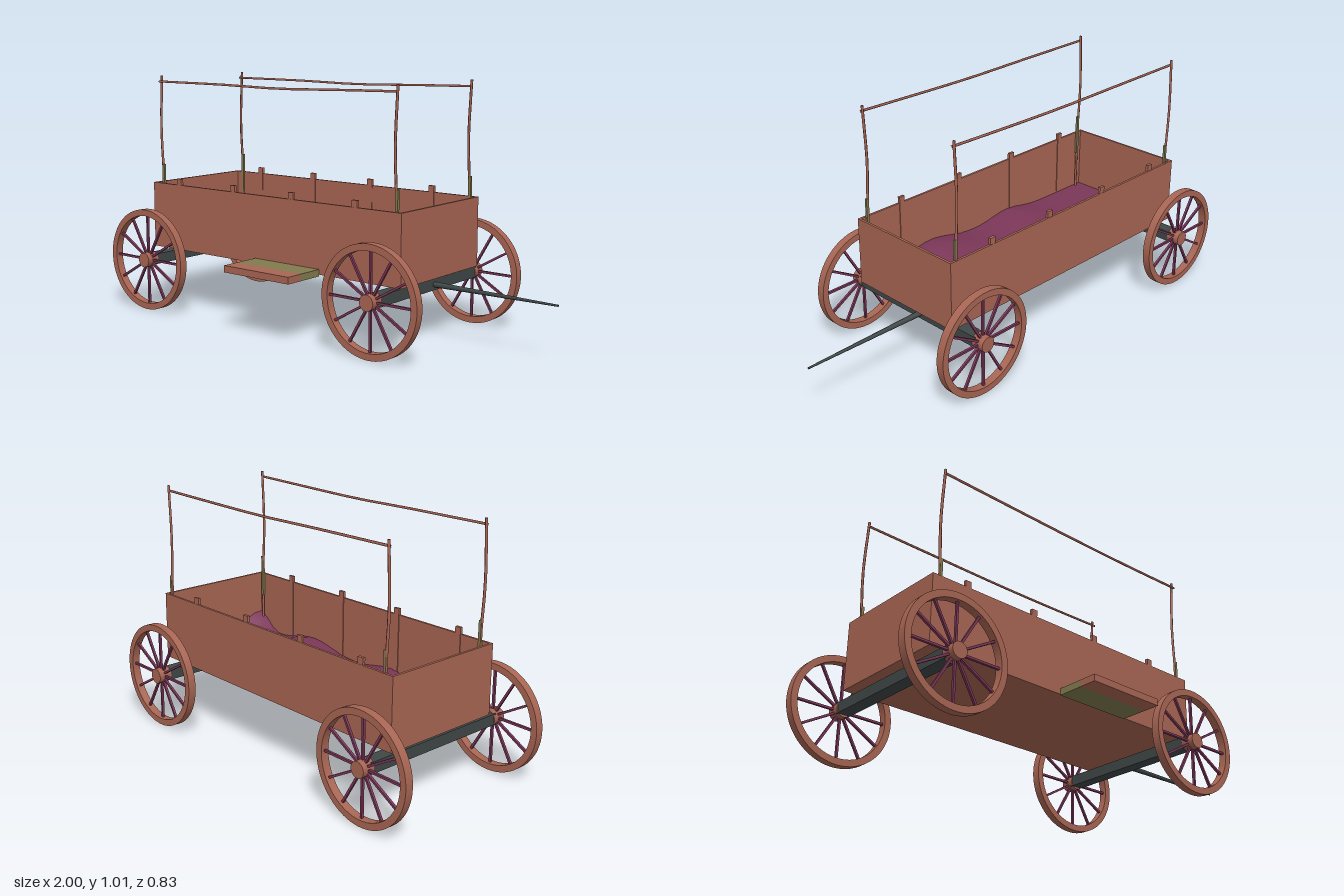
import * as THREE from 'three';
import { toCreasedNormals } from 'three/addons/utils/BufferGeometryUtils.js';

const mat = (name, color, side = THREE.FrontSide) =>
  Object.assign(new THREE.MeshStandardMaterial({ color, side }), { name });

export function createModel() {
  const wood = mat('reddish wood', 0xa86553);
  const purple = mat('purple cloth', 0x7b3658, THREE.DoubleSide);
  const olive = mat('olive wood', 0x827b4e);
  const slate = mat('slate', 0x3f4747);

  const wagon = new THREE.Group();
  wagon.name = 'wagon';

  const add = (name, geo, material, parent = wagon) => {
    const mesh = new THREE.Mesh(geo, material);
    mesh.name = name;
    parent.add(mesh);
    return mesh;
  };
  // box given by its minimum and maximum corners
  const box = (name, material, [x0, y0, z0], [x1, y1, z1], parent = wagon) => {
    const m = add(name, new THREE.BoxGeometry(x1 - x0, y1 - y0, z1 - z0), material, parent);
    m.position.set((x0 + x1) / 2, (y0 + y1) / 2, (z0 + z1) / 2);
    return m;
  };

  // Open bed: floor and four walls
  const X0 = -0.83, X1 = 0.51, Y0 = 0.264, Y1 = 0.548, Z0 = -0.297, Z1 = 0.232, T = 0.01;
  box('bedFloor', wood, [X0, Y0, Z0], [X1, Y0 + T, Z1]);
  box('leftSideWall', wood, [X0, Y0, Z1 - T], [X1, Y1, Z1]);
  box('rightSideWall', wood, [X0, Y0, Z0], [X1, Y1, Z0 + T]);
  box('rearWall', wood, [X0, Y0, Z0 + T], [X0 + T, Y1, Z1 - T]);
  box('frontWall', wood, [X1 - T, Y0, Z0 + T], [X1, Y1, Z1 - T]);

  // Stakes standing just above the side walls
  for (const x of [-0.67, -0.35, -0.03, 0.29]) {
    box('stake', wood, [x - 0.013, 0.29, Z1 - 0.013], [x + 0.013, 0.575, Z1 - 0.001]);
    box('stake', wood, [x - 0.013, 0.29, Z0 + 0.001], [x + 0.013, 0.575, Z0 + 0.013]);
  }

  // Lumpy cloth lying in the bed, the same when turned half round
  const cx = (X0 + X1) / 2, cz = (Z0 + Z1) / 2;
  const cloth = new THREE.PlaneGeometry(X1 - X0 - 2 * T, Z1 - Z0 - 2 * T, 32, 12);
  cloth.rotateX(-Math.PI / 2);
  const bumps = [[-0.66, -0.24, 0.085, 0.07], [-0.3, -0.2, 0.05, 0.15], [0.16, -0.2, 0.035, 0.12]];
  const p = cloth.attributes.position;
  for (let i = 0; i < p.count; i++) {
    const x = p.getX(i), z = p.getZ(i);
    let y = 0.282;
    for (const [bx, bz, h, r] of bumps) {
      for (const s of [1, -1]) {
        y += h * Math.exp(-(((x - s * bx) / r) ** 2) - ((z - s * bz) / 0.13) ** 2);
      }
    }
    p.setY(i, y);
  }
  cloth.computeVertexNormals();
  add('clothHeap', cloth, purple).position.set(cx, 0, cz);

  // Slightly bowed posts and sagging rails
  const tube = (name, pts, r) => add(name, new THREE.TubeGeometry(
    new THREE.CatmullRomCurve3(pts.map(a => new THREE.Vector3(...a))), 10, r, 6), wood);
  for (const z of [0.212, -0.287]) {
    for (const x of [-0.785, 0.475]) {
      tube('post', [[x, 0.28, z], [x, 0.55, z], [x - 0.01, 0.78, z], [x, 1.012, z]], 0.0055);
      const cap = add('postCap', new THREE.CylinderGeometry(0.0055, 0.0055, 0.006, 6), wood);
      cap.position.set(x, 1.012, z);
      box('postFoot', olive, [x - 0.005, 0.45, z - 0.005], [x + 0.007, 0.63, z + 0.005]);
    }
    tube('rail', [[-0.79, 0.99, z + 0.01], [-0.4, 0.987, z + 0.008],
      [-0.1, 0.981, z + 0.012], [0.2, 0.986, z + 0.008], [0.48, 0.99, z + 0.01]], 0.005);
  }

  // Side step in two colours
  box('stepInner', olive, [-0.22, 0.258, 0.235], [0.12, 0.286, 0.345]);
  box('stepOuter', wood, [-0.22, 0.258, 0.345], [0.12, 0.286, 0.417]);

  // Spoked wheel, centred on its hub
  const R = 0.22, RIN = 0.193, W = 0.034;
  const ring = new THREE.Shape().absarc(0, 0, R, 0, Math.PI * 2);
  ring.holes.push(new THREE.Path().absarc(0, 0, RIN, 0, Math.PI * 2, true));
  const rimGeo = toCreasedNormals(new THREE.ExtrudeGeometry(ring,
    { depth: W, bevelEnabled: false, curveSegments: 36 }).translate(0, 0, -W / 2), 0.6);
  const hubGeo = new THREE.CylinderGeometry(0.032, 0.032, 0.056, 16).rotateX(Math.PI / 2);
  const spokeGeo = new THREE.BoxGeometry(0.009, RIN - 0.02, 0.01).translate(0, (RIN + 0.024) / 2, 0);
  const wheel = (x, z) => {
    const g = new THREE.Group();
    g.name = 'wheel';
    add('rim', rimGeo, wood, g);
    add('hub', hubGeo, wood, g);
    for (let i = 0; i < 12; i++) add('spoke', spokeGeo, purple, g).rotation.z = i * Math.PI / 6;
    g.position.set(x, 0.221, z);
    wagon.add(g);
  };

  // Axles with a wheel at each end
  for (const x of [-0.782, 0.434]) {
    box('axle', slate, [x - 0.027, 0.199, -0.37], [x + 0.027, 0.244, 0.3]);
    wheel(x, 0.316);
    wheel(x, -0.385);
  }

  // Tapered draw pole
  const pole = add('drawPole', new THREE.CylinderGeometry(0.004, 0.012, 0.565, 8).rotateZ(-Math.PI / 2), slate);
  pole.position.set(0.7175, 0.222, -0.064);

  return wagon;
}
